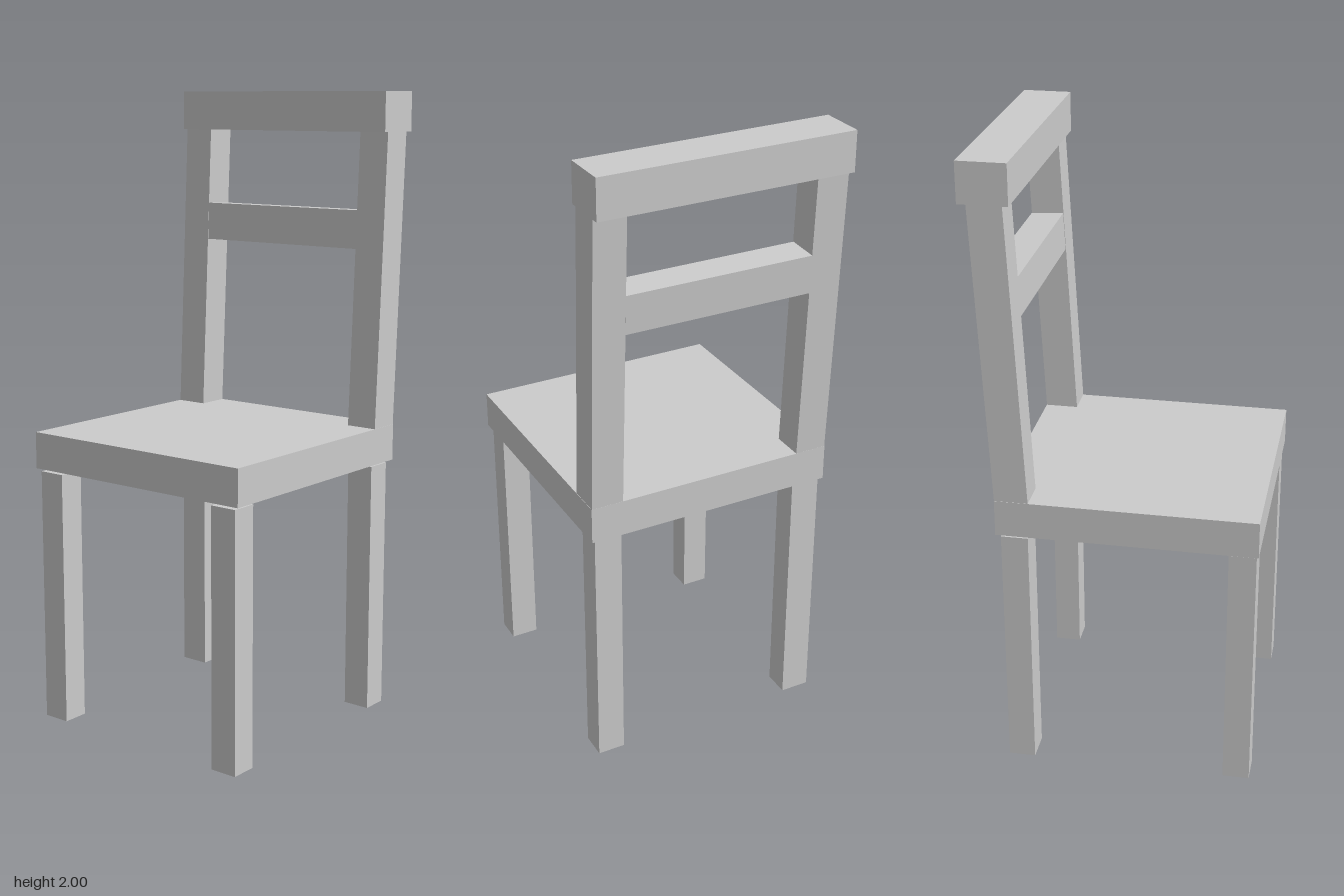
import * as THREE from 'three';

const material = new THREE.MeshStandardMaterial({ color: 0xcccccc, flatShading: true });

// Box given by its minimum and maximum along each axis
function box(name, [x0, x1], [y0, y1], [z0, z1]) {
  const mesh = new THREE.Mesh(new THREE.BoxGeometry(x1 - x0, y1 - y0, z1 - z0), material);
  mesh.position.set((x0 + x1) / 2, (y0 + y1) / 2, (z0 + z1) / 2);
  mesh.name = name;
  return mesh;
}

// Mirrors an x range to the given side
const span = (side, a, b) => (side > 0 ? [a, b] : [-b, -a]);

export function createModel() {
  const chair = new THREE.Group();
  chair.name = 'chair';

  const lean = 0.048; // backward slope of the backrest
  const seatTop = 0.943, railBottom = 1.875;

  chair.add(box('seat', [-0.406, 0.406], [0.826, seatTop], [-0.37, 0.441]));

  for (const side of [1, -1]) {
    const label = side > 0 ? 'left' : 'right';

    // Legs, ending just under the seat
    chair.add(box(`${label}FrontLeg`, span(side, 0.302, 0.391), [0, 0.817], [0.349, 0.434]));
    const backOuter = side > 0 ? 0.391 : 0.397;
    chair.add(box(`${label}BackLeg`, span(side, 0.302, backOuter), [0, 0.817], [-0.355, -0.27]));

    // Back posts, sheared backwards with level ends
    const post = box(`${label}BackPost`, span(side, 0.302, 0.405), [seatTop, railBottom], [-0.392, -0.287]);
    const p = post.geometry.attributes.position;
    for (let i = 0; i < p.count; i++) p.setZ(i, p.getZ(i) - lean * p.getY(i));
    post.geometry.computeVertexNormals();
    chair.add(post);
  }

  // Slat between the posts, tilted with them
  const slat = box('backSlat', [-0.302, 0.302], [1.506, 1.628], [-0.4, -0.296]);
  slat.rotation.x = -lean;
  chair.add(slat);

  chair.add(box('topRail', [-0.406, 0.406], [railBottom, 2], [-0.441, -0.291]));

  return chair;
}
